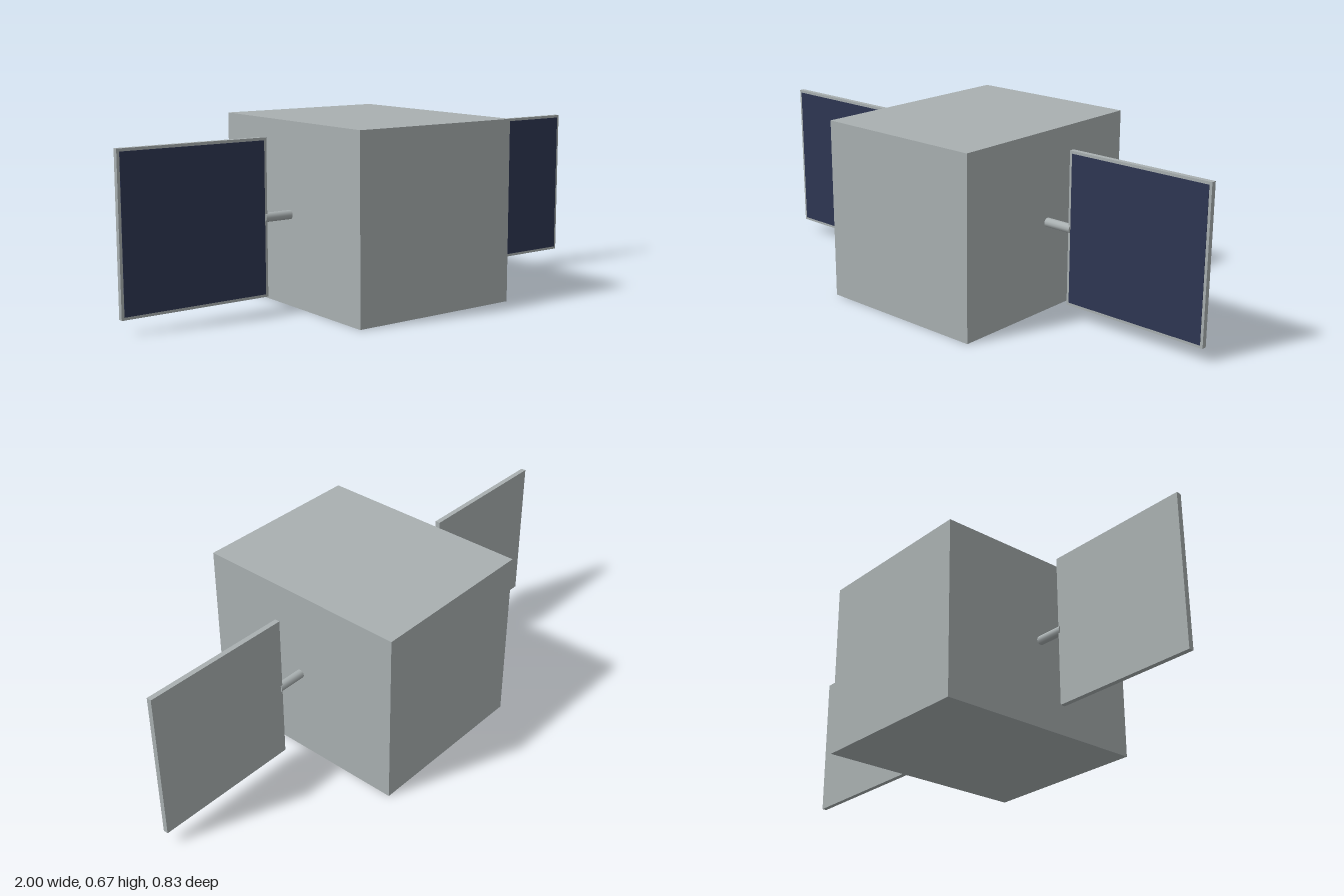
import * as THREE from 'three';

const hullGrey = new THREE.MeshStandardMaterial({ color: 0xa9b0b1 });
hullGrey.name = 'hull grey';
const cellNavy = new THREE.MeshStandardMaterial({ color: 0x2e3652 });
cellNavy.name = 'solar cell navy';

const MID_Y = 0.3335;

function addPart(parent, name, geometry, material, x, y, z) {
  const mesh = new THREE.Mesh(geometry, material);
  mesh.name = name;
  mesh.position.set(x, y, z);
  parent.add(mesh);
  return mesh;
}

// One wing: a boom from the body to a framed panel with cells on its front
function createWing(side) {
  const wing = new THREE.Group();
  wing.name = side > 0 ? 'leftWing' : 'rightWing';
  wing.position.y = MID_Y;

  const boomGeometry = new THREE.CylinderGeometry(0.0167, 0.0167, 0.12, 12);
  boomGeometry.rotateZ(Math.PI / 2);
  addPart(wing, 'boom', boomGeometry, hullGrey, side * 0.383, 0, 0);

  addPart(wing, 'panelFrame', new THREE.BoxGeometry(0.565, 0.565, 0.019), hullGrey, side * 0.7175, 0, -0.0005);
  addPart(wing, 'solarCells', new THREE.BoxGeometry(0.545, 0.545, 0.002), cellNavy, side * 0.7175, 0, 0.0095);
  return wing;
}

export function createModel() {
  const model = new THREE.Group();
  model.name = 'satellite';

  // Plain box body
  addPart(model, 'body', new THREE.BoxGeometry(0.667, 0.667, 0.83), hullGrey, 0, MID_Y, 0);

  for (const side of [1, -1]) model.add(createWing(side));
  return model;
}
